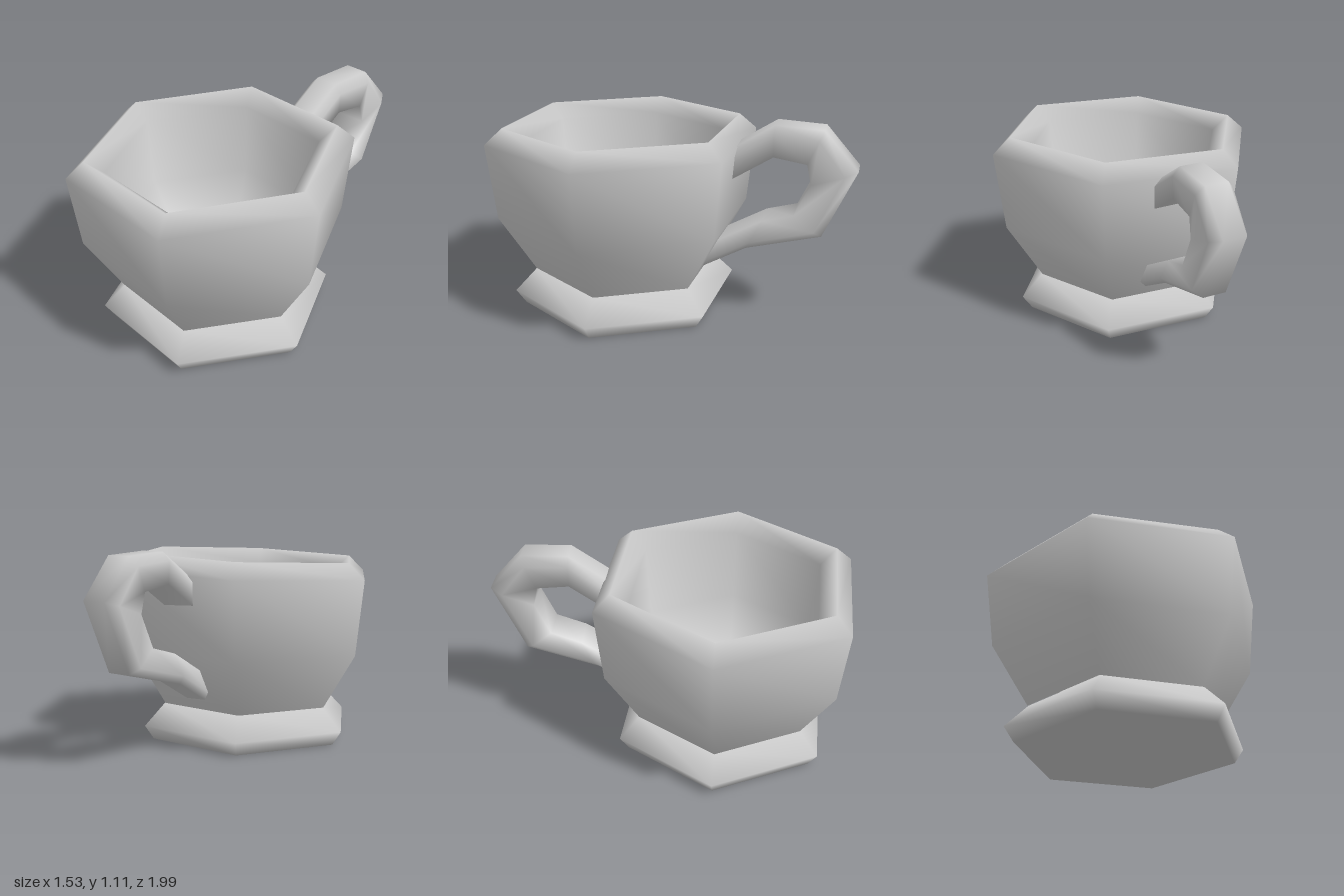
import * as THREE from 'three';

const clay = new THREE.MeshStandardMaterial({ color: 0xcccccc });
clay.name = 'clay grey';

// Six-sided turned part; the portion above the neck leans slightly off level
function turned(name, x, profile) {
  const geo = new THREE.LatheGeometry(
    profile.map(([r, y]) => new THREE.Vector2(r, y)), 6, THREE.MathUtils.degToRad(26));
  const p = geo.attributes.position;
  for (let i = 0; i < p.count; i++) {
    const lean = Math.max(0, (p.getY(i) - 0.205) / 0.84);
    p.setY(i, p.getY(i) + lean * (0.034 * p.getX(i) - 0.02 * p.getZ(i)));
  }
  const mesh = new THREE.Mesh(geo, clay);
  mesh.name = name;
  mesh.position.set(x, 0, 0.308);
  return mesh;
}

// Faceted handle: sections between outer and inner outline points, chamfered on the outside
function makeHandle() {
  // [outer z, outer y, inner z, inner y, centre x]
  const sections = [
    [-0.31, 0.955, -0.31, 0.79, 0.04],
    [-0.55, 1.11, -0.55, 0.945, 0.05],
    [-0.81, 1.10, -0.73, 0.92, 0.06],
    [-0.995, 0.89, -0.755, 0.81, 0.065],
    [-0.82, 0.51, -0.67, 0.63, 0.06],
    [-0.41, 0.40, -0.50, 0.58, 0.05],
    [-0.16, 0.26, -0.25, 0.44, 0.045],
  ];
  const outline = [[0.1, -1], [0.107, 0.45], [0.065, 1], [-0.065, 1], [-0.107, 0.45], [-0.1, -1]];
  const n = outline.length, positions = [], index = [];
  sections.forEach(([oz, oy, iz, iy, cx], s) => {
    outline.forEach(([u, v], j) => {
      positions.push(cx + u, (oy + iy) / 2 + v * (oy - iy) / 2, (oz + iz) / 2 + v * (oz - iz) / 2);
      if (s === sections.length - 1) return;
      const a = s * n + j, b = s * n + (j + 1) % n;
      index.push(a, a + n, b, b, a + n, b + n);
    });
  });
  const geo = new THREE.BufferGeometry();
  geo.setAttribute('position', new THREE.Float32BufferAttribute(positions, 3));
  geo.setIndex(index);
  geo.computeVertexNormals();
  const mesh = new THREE.Mesh(geo, clay);
  mesh.name = 'handle';
  return mesh;
}

export function createModel() {
  const cup = new THREE.Group();
  cup.name = 'cup';
  cup.add(
    // Closed foot, softly shaded over its edges
    turned('foot', 0.008, [[0, 0], [0.592, 0], [0.645, 0.08], [0.523, 0.205], [0, 0.205]]),
    // Outer wall, rounded rim and thick-walled hollow in one continuous skin
    turned('bowl', 0.003, [[0.523, 0.205], [0.72, 0.53], [0.769, 0.96], [0.67, 1.049],
      [0.57, 0.965], [0.535, 0.57], [0.33, 0.27], [0, 0.27]]),
    makeHandle(),
  );
  return cup;
}
